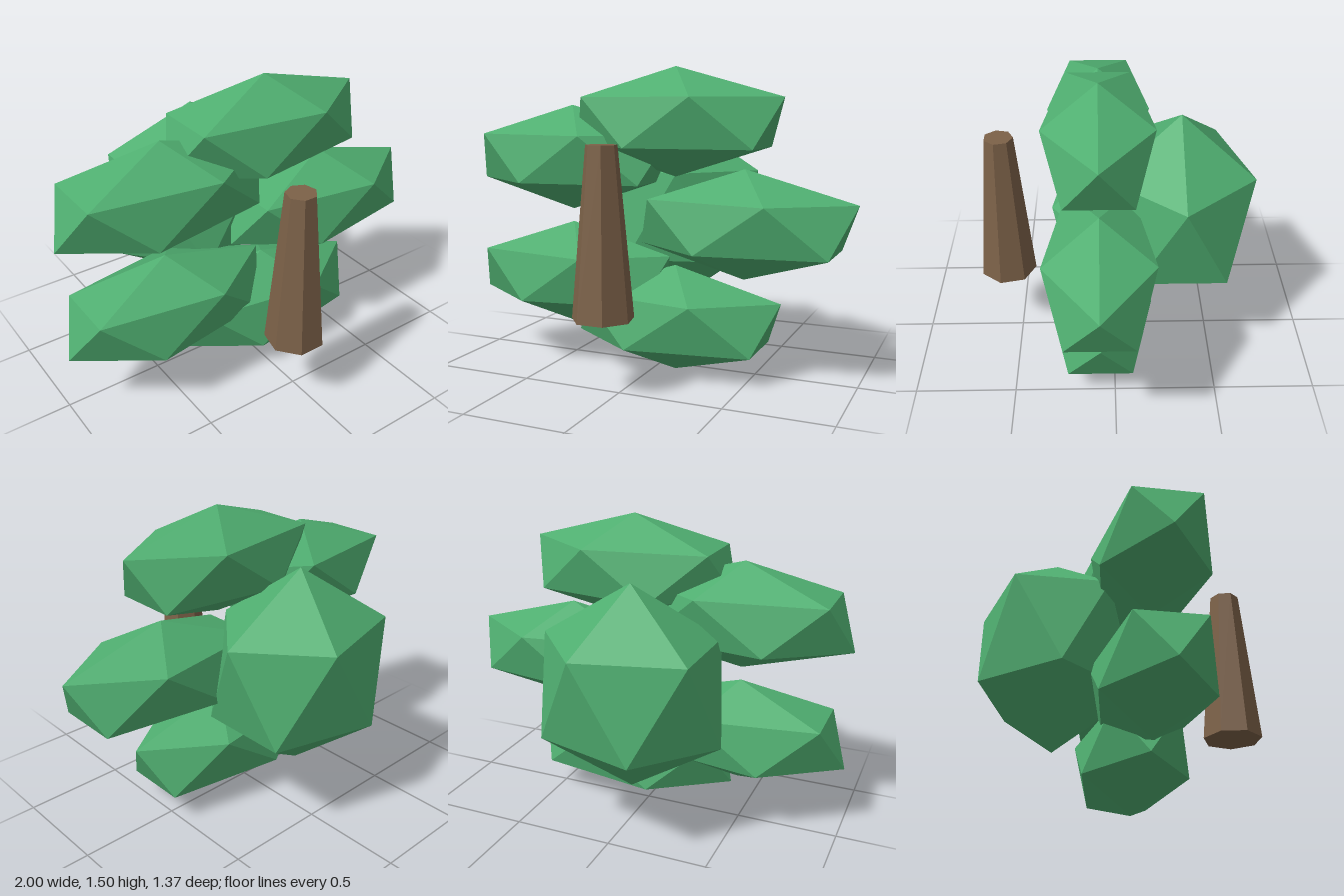
import * as THREE from 'three';

const leafGreen = new THREE.MeshStandardMaterial({ color: 0x4fae70 });
leafGreen.name = 'leafGreen';
const barkBrown = new THREE.MeshStandardMaterial({ color: 0x7c6148 });
barkBrown.name = 'barkBrown';

// Icosahedron standing on a vertex, stretched by its three radii, with flat faces
function leafClump(name, radii, position) {
  const tilt = Math.atan(2 / (1 + Math.sqrt(5)));
  const geometry = new THREE.IcosahedronGeometry(1, 0).rotateZ(-tilt).scale(...radii);
  geometry.computeVertexNormals();
  const mesh = new THREE.Mesh(geometry, leafGreen);
  mesh.name = name;
  mesh.position.set(...position);
  return mesh;
}

export function createModel() {
  const tree = new THREE.Group();
  tree.name = 'tree';

  // Tapered seven-sided trunk in front of the leaves
  const trunkGeometry = new THREE.CylinderGeometry(0.073, 0.145, 0.785, 7, 1, false, Math.PI).toNonIndexed();
  trunkGeometry.computeVertexNormals();
  const trunk = new THREE.Mesh(trunkGeometry, barkBrown);
  trunk.name = 'trunk';
  trunk.position.set(-0.05, 0.7525, 0.556);
  tree.add(trunk);

  // Five equal flattened clumps side by side
  const clumps = [
    ['topLeafClump', 0.105, 1.235],
    ['upperRightLeafClump', -0.463, 1.05],
    ['leftLeafClump', 0.457, 0.7525],
    ['lowerRightLeafClump', -0.463, 0.453],
    ['bottomLeafClump', 0.105, 0.266],
  ];
  for (const [name, x, y] of clumps) {
    tree.add(leafClump(name, [0.601, 0.265, 0.302], [x, y, 0.0725]));
  }

  // Large rounder clump at the back
  tree.add(leafClump('backLeafClump', [0.504, 0.507, 0.423], [-0.05, 0.7525, -0.327]));
  return tree;
}
